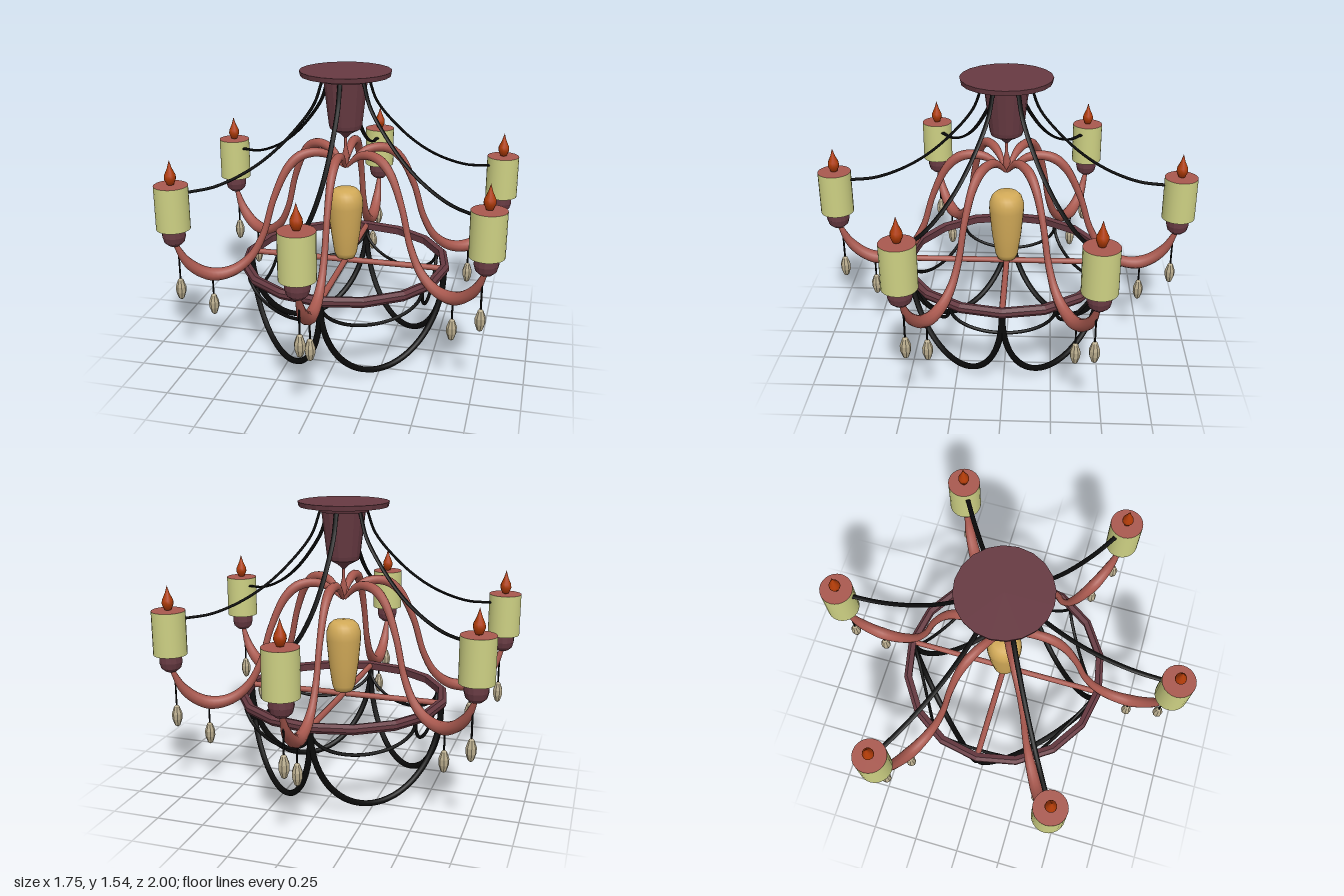
import * as THREE from 'three';

const mat = (color, extra = {}) => new THREE.MeshStandardMaterial({ color, ...extra });
const maroon = mat(0x673a42, { flatShading: true, side: THREE.DoubleSide });
const copper = mat(0xa9594f);
const black = mat(0x0b0b0b);
const wax = mat(0xcdd083);
const gold = mat(0xd2aa58);
const fire = mat(0xb23c08);
const crystal = mat(0xb8ab8c, { flatShading: true });

const v3 = (p) => new THREE.Vector3(p[0], p[1], p[2] || 0);
const curveOf = (pts) => new THREE.CatmullRomCurve3(pts.map(v3));

function add(parent, name, geometry, material, x = 0, y = 0, z = 0) {
  const mesh = new THREE.Mesh(geometry, material);
  mesh.name = name;
  mesh.position.set(x, y, z);
  parent.add(mesh);
  return mesh;
}

// Profile points run from the bottom to the top
const lathe = (pts, sides) => new THREE.LatheGeometry(pts.map((p) => new THREE.Vector2(p[0], p[1])), sides);

// Tube whose radius follows a list of evenly spaced values
function taperedTube(curve, radii, segments = 56, sides = 10) {
  const geo = new THREE.TubeGeometry(curve, segments, 1, sides);
  const pos = geo.attributes.position;
  const v = new THREE.Vector3();
  for (let i = 0; i <= segments; i++) {
    const t = i / segments;
    const centre = curve.getPointAt(t);
    const f = t * (radii.length - 1);
    const k = Math.min(Math.floor(f), radii.length - 2);
    const r = THREE.MathUtils.lerp(radii[k], radii[k + 1], f - k);
    for (let j = 0; j <= sides; j++) {
      const n = i * (sides + 1) + j;
      v.fromBufferAttribute(pos, n).sub(centre).multiplyScalar(r).add(centre);
      pos.setXYZ(n, v.x, v.y, v.z);
    }
  }
  return geo;
}

// Hanging cord between two ring positions, shaped as half an ellipse
function swag(parent, name, a, b, radius, ringR, top, drop, thickness) {
  const pts = [];
  for (let i = 0; i <= 16; i++) {
    const t = (i / 16) * Math.PI;
    const s = (1 - Math.cos(t)) / 2;
    pts.push([
      THREE.MathUtils.lerp(Math.sin(a), Math.sin(b), s) * ringR,
      top - drop * Math.sin(t),
      THREE.MathUtils.lerp(Math.cos(a), Math.cos(b), s) * ringR,
    ]);
  }
  add(parent, name, new THREE.TubeGeometry(curveOf(pts), 40, thickness, 8), black);
}

// Crystal on a thread, the top of the thread at y
function pendant(parent, x, threadTop, dropTop) {
  const h = threadTop - dropTop + 0.02;
  add(parent, 'pendantThread', new THREE.CylinderGeometry(0.005, 0.005, h, 6), black, x, threadTop - h / 2, 0);
  const drop = lathe([[0, -0.125], [0.014, -0.115], [0.026, -0.08], [0.027, -0.05], [0.014, -0.012], [0, 0]], 8);
  add(parent, 'pendantDrop', drop, crystal, x, dropTop, 0);
}

// One arm reaching along +x with its candle, cable and pendants
function buildBranch() {
  const g = new THREE.Group();
  g.name = 'branch';
  const armCurve = curveOf([
    [0.01, 1.03], [0.05, 1.07], [0.11, 1.11], [0.18, 1.122], [0.25, 1.105], [0.315, 1.045], [0.39, 0.89],
    [0.45, 0.70], [0.52, 0.58], [0.61, 0.515], [0.71, 0.50], [0.79, 0.53], [0.86, 0.595], [0.908, 0.69],
  ]);
  add(g, 'arm', taperedTube(armCurve, [0.007, 0.023, 0.026, 0.02, 0.017, 0.017, 0.02, 0.028, 0.035, 0.028, 0.012]), copper);

  const R = 0.912;
  add(g, 'candleCup', lathe([[0, 0.685], [0.03, 0.69], [0.052, 0.71], [0.06, 0.74], [0.058, 0.782], [0, 0.782]], 14), maroon, R);
  add(g, 'candle', new THREE.CylinderGeometry(0.087, 0.087, 0.23, 24), [wax, copper, wax], R, 0.895, 0);
  add(g, 'flame', lathe([[0, 1.008], [0.018, 1.015], [0.03, 1.045], [0.028, 1.065], [0.012, 1.1], [0, 1.14]], 12), fire, R);

  // Flat cable from the canopy to the inner side of the candle
  const cable = curveOf([[0.125, 1.49], [0.17, 1.37], [0.3, 1.215], [0.43, 1.105], [0.56, 1.03], [0.7, 0.98], [0.83, 0.965]]);
  add(g, 'cable', new THREE.TubeGeometry(cable, 36, 0.007, 8), black).scale.z = 1.8;

  pendant(g, 0.895, 0.64, 0.505);
  pendant(g, 0.728, 0.49, 0.395);
  return g;
}

export function createModel() {
  const model = new THREE.Group();
  model.name = 'chandelier';

  // Canopy and finial
  add(model, 'canopyPlate', new THREE.CylinderGeometry(0.237, 0.232, 0.025, 20), maroon, 0, 1.527, 0);
  add(model, 'canopyCollar', new THREE.CylinderGeometry(0.14, 0.13, 0.028, 20), maroon, 0, 1.502, 0);
  add(model, 'canopyCup', lathe([[0, 1.18], [0.015, 1.195], [0.03, 1.21], [0.082, 1.238], [0.088, 1.26], [0.115, 1.49]], 16), maroon);
  add(model, 'hubSpindle', lathe([[0, 1.02], [0.016, 1.04], [0.02, 1.09], [0.008, 1.14], [0.008, 1.2]], 10), copper);

  // Six branches, two of them along the z axis
  const branch = buildBranch();
  for (let i = 0; i < 6; i++) {
    const b = branch.clone();
    b.rotation.y = Math.PI / 2 + (i * Math.PI) / 3;
    model.add(b);
  }

  // Ring with crossed bars
  const ring = lathe([[0.525, 0.478], [0.555, 0.474], [0.566, 0.49], [0.566, 0.51], [0.548, 0.525], [0.522, 0.518], [0.525, 0.478]], 16);
  add(model, 'ring', ring, maroon);
  for (const turn of [0, Math.PI / 2]) {
    const bar = add(model, 'crossBar', new THREE.CylinderGeometry(0.016, 0.016, 1.08, 10), copper, 0, 0.5, 0);
    bar.rotation.set(0, turn, Math.PI / 2);
  }

  // Central lamp
  add(model, 'centreLamp', lathe([
    [0, 0.515], [0.05, 0.52], [0.062, 0.55], [0.08, 0.67], [0.093, 0.81], [0.092, 0.85], [0.08, 0.885], [0.06, 0.905], [0, 0.91],
  ], 24), gold);

  // Four deep swags and six shallow ones under the ring
  for (let i = 0; i < 4; i++) {
    swag(model, 'deepSwag', (i * Math.PI) / 2, ((i + 1) * Math.PI) / 2, 1, 0.54, 0.48, 0.464, 0.016);
  }
  for (let i = 0; i < 6; i++) {
    swag(model, 'shallowSwag', (i * Math.PI) / 3, ((i + 1) * Math.PI) / 3, 1, 0.535, 0.48, 0.15, 0.009);
  }
  return model;
}
